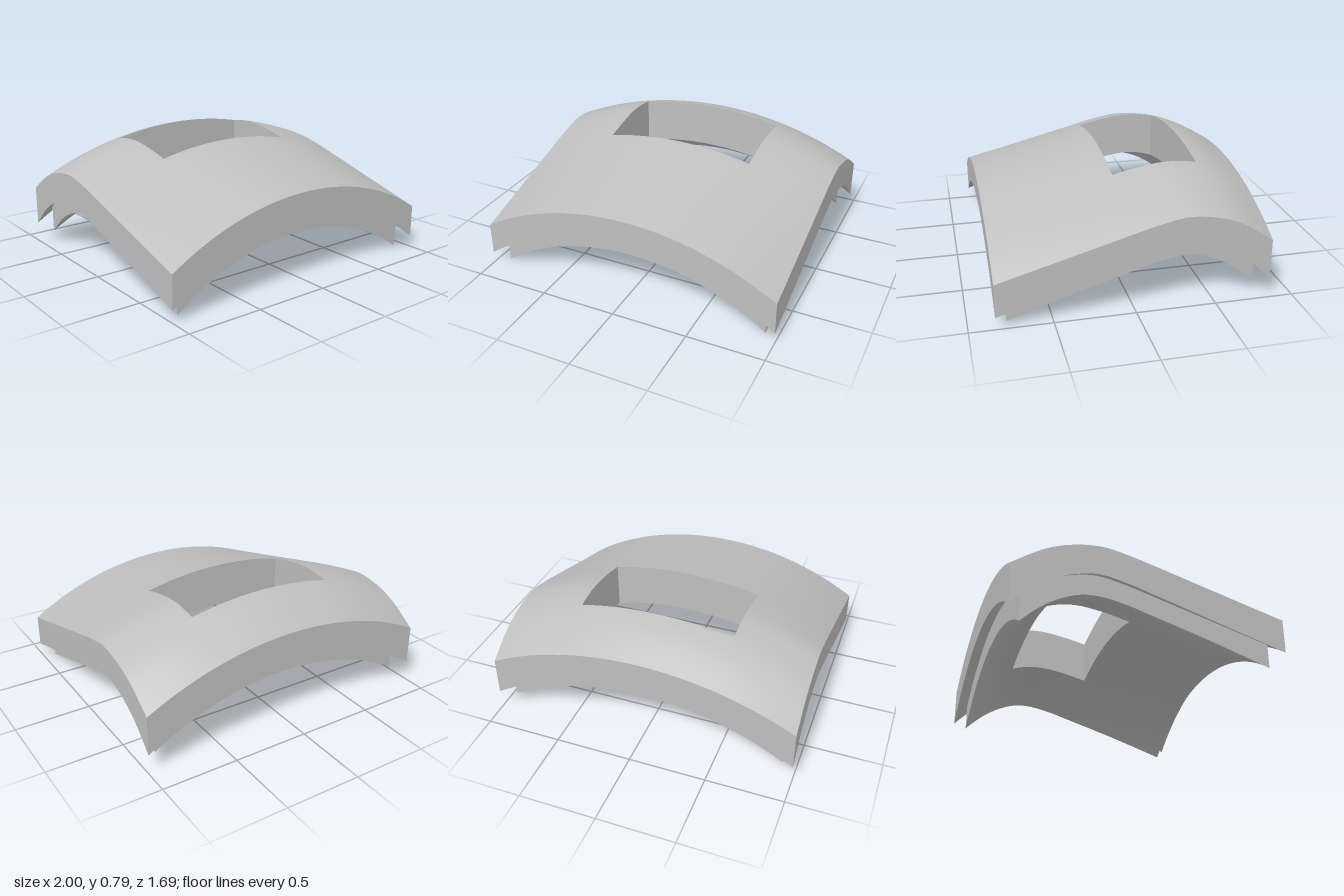
import * as THREE from 'three';

// Profiles along z: [z, height at the centre line, height at the side edge]
const TOP = { half: 1, rows: [[-0.843, 0.645, 0.395], [-0.65, 0.752, 0.52], [-0.51, 0.797, 0.573], [-0.31, 0.815, 0.6],
  [-0.13, 0.795, 0.568], [0.04, 0.76, 0.522], [0.4, 0.681, 0.42], [0.843, 0.585, 0.295]] };
const LEDGE = { half: 1, rows: [[-0.843, 0.435, 0.138], [-0.7, 0.535, 0.27], [-0.55, 0.603, 0.357], [-0.42, 0.635, 0.398],
  [-0.31, 0.644, 0.41], [-0.13, 0.625, 0.373], [0, 0.597, 0.335], [0.4, 0.509, 0.214], [0.843, 0.41, 0.08]] };
const UNDER = { half: 0.92, rows: [[-0.765, 0.34, 0.08], [-0.65, 0.43, 0.185], [-0.55, 0.479, 0.25], [-0.42, 0.516, 0.303],
  [-0.31, 0.527, 0.313], [-0.13, 0.507, 0.283], [0, 0.478, 0.245], [0.4, 0.391, 0.125], [0.77, 0.305, 0.003]] };

// Plan rectangles
const OUTER = { x0: -1, x1: 1, z0: -0.843, z1: 0.843 };
const INNER = { x0: -0.92, x1: 0.92, z0: -0.765, z1: 0.77 };
const HOLE = { x0: -0.505, x1: 0.505, z0: -0.51, z1: 0.035 };

// Smooth interpolation of column k through the profile rows
function sample(rows, k, z) {
  let i = 0;
  while (i < rows.length - 2 && z > rows[i + 1][0]) i++;
  const slope = (a, b) => (rows[b][k] - rows[a][k]) / (rows[b][0] - rows[a][0]);
  const tangent = (n) => n === 0 ? slope(0, 1) * 1.5 - slope(0, 2) * 0.5
    : n === rows.length - 1 ? slope(n - 1, n) : (slope(n - 1, n) + slope(n, n + 1)) / 2;
  const h = rows[i + 1][0] - rows[i][0], t = (z - rows[i][0]) / h;
  const t2 = t * t, t3 = t2 * t;
  return (2 * t3 - 3 * t2 + 1) * rows[i][k] + (t3 - 2 * t2 + t) * h * tangent(i)
    + (3 * t2 - 2 * t3) * rows[i + 1][k] + (t3 - t2) * h * tangent(i + 1);
}

// Height of a doubly curved surface: a circular arch across x at every z
function height(surface, x, z) {
  const centre = sample(surface.rows, 1, z);
  const drop = centre - sample(surface.rows, 2, z);
  const w = surface.half;
  const r = (w * w + drop * drop) / (2 * drop);
  return centre - (r - Math.sqrt(r * r - x * x));
}

// Shared grid lines, so that sheets and walls meet exactly
function gridLines(stops, step) {
  const lines = [stops[0]];
  for (let i = 1; i < stops.length; i++) {
    const a = stops[i - 1], b = stops[i], n = Math.ceil((b - a) / step);
    for (let k = 1; k <= n; k++) lines.push(k === n ? b : a + (b - a) * k / n);
  }
  return lines;
}
const XS = gridLines([-1, -0.92, -0.505, 0.505, 0.92, 1], 0.05);
const ZS = gridLines([-0.843, -0.765, -0.51, 0.035, 0.77, 0.843], 0.04);
const within = (lines, a, b) => lines.filter((v) => v >= a && v <= b);

function makeGeometry(positions, index) {
  const g = new THREE.BufferGeometry();
  g.setAttribute('position', new THREE.Float32BufferAttribute(positions, 3));
  g.setIndex(index);
  g.computeVertexNormals();
  return g;
}

// Curved sheet over a rectangle with a rectangular opening
function sheet(surface, rect, opening, faceDown) {
  const xs = within(XS, rect.x0, rect.x1), zs = within(ZS, rect.z0, rect.z1);
  const positions = [], index = [], n = xs.length;
  for (const z of zs) for (const x of xs) positions.push(x, height(surface, x, z), z);
  for (let i = 0; i < zs.length - 1; i++) {
    for (let j = 0; j < n - 1; j++) {
      const x = (xs[j] + xs[j + 1]) / 2, z = (zs[i] + zs[i + 1]) / 2;
      if (x > opening.x0 && x < opening.x1 && z > opening.z0 && z < opening.z1) continue;
      const a = i * n + j, b = a + n, c = b + 1, d = a + 1;
      if (faceDown) index.push(a, c, b, a, d, c);
      else index.push(a, b, c, a, c, d);
    }
  }
  return makeGeometry(positions, index);
}

// Four upright walls around a rectangle, between two curved surfaces
function walls(upper, lower, rect, inward) {
  const xs = within(XS, rect.x0, rect.x1), zs = within(ZS, rect.z0, rect.z1);
  const sides = [
    xs.map((x) => [x, rect.z1]),
    zs.map((z) => [rect.x1, z]).reverse(),
    xs.map((x) => [x, rect.z0]).reverse(),
    zs.map((z) => [rect.x0, z]),
  ];
  const positions = [], index = [];
  for (const side of sides) {
    const base = positions.length / 3;
    side.forEach(([x, z], i) => {
      positions.push(x, height(lower, x, z), z, x, height(upper, x, z), z);
      if (i === 0) return;
      const a = base + 2 * i - 2, b = a + 2, c = a + 3, d = a + 1;
      if (inward) index.push(a, c, b, a, d, c);
      else index.push(a, b, c, a, c, d);
    });
  }
  return makeGeometry(positions, index);
}

export function createModel() {
  const group = new THREE.Group();
  group.name = 'curvedCover';
  const grey = new THREE.MeshStandardMaterial({ color: 0xbfbfbf });
  grey.name = 'grey';
  const add = (name, geometry) => {
    const mesh = new THREE.Mesh(geometry, grey);
    mesh.name = name;
    group.add(mesh);
  };

  // Outer shell
  add('topSurface', sheet(TOP, OUTER, HOLE, false));
  add('outerRim', walls(TOP, LEDGE, OUTER, false));
  // Step between the shell and the inset lip
  add('rimLedge', sheet(LEDGE, OUTER, INNER, true));
  // Inset lower lip
  add('innerLip', walls(LEDGE, UNDER, INNER, false));
  add('underside', sheet(UNDER, INNER, HOLE, true));
  // Rectangular window through the whole thickness
  add('windowWalls', walls(TOP, UNDER, HOLE, true));
  return group;
}
